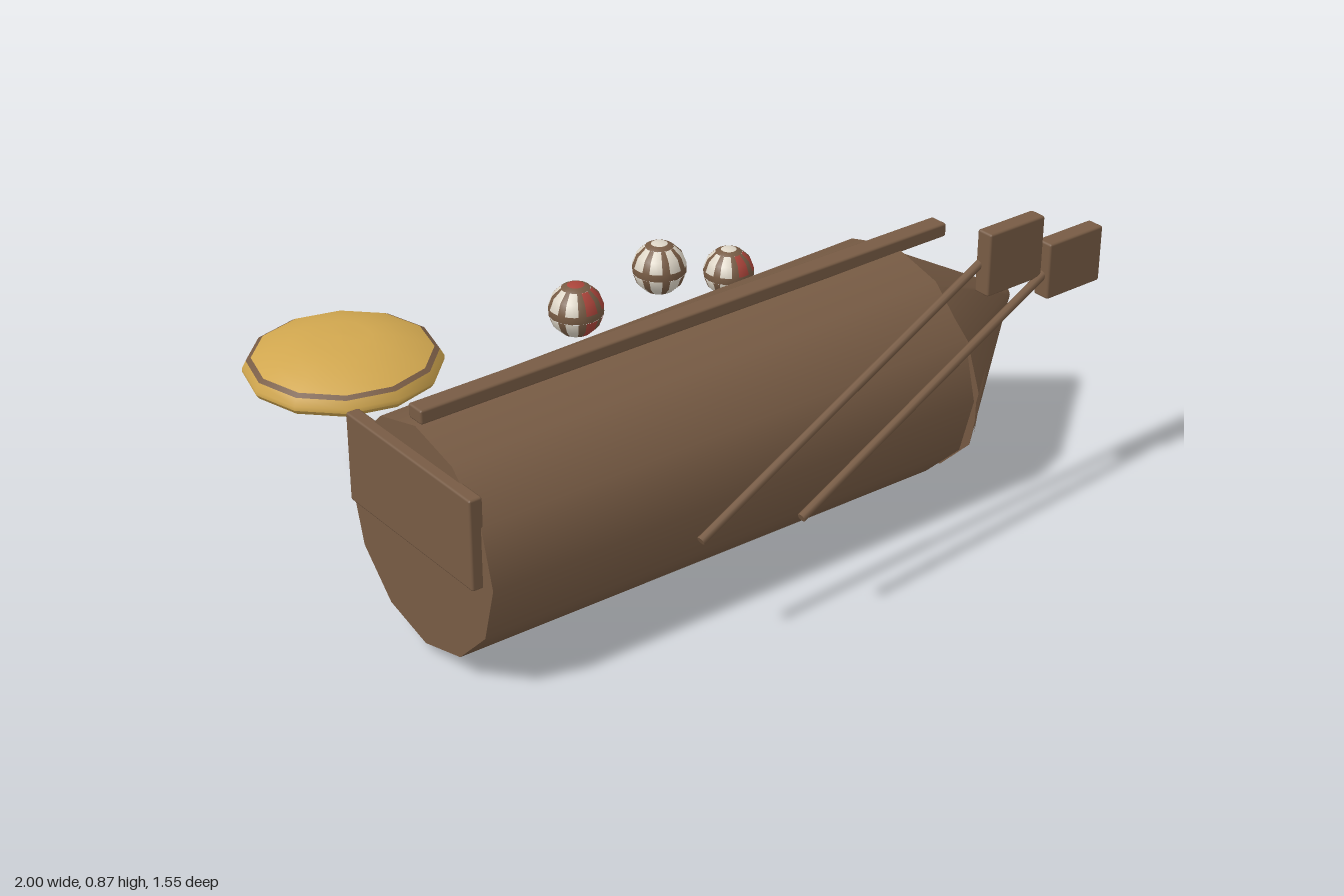
import * as THREE from 'three';
import { RoundedBoxGeometry } from 'three/addons/geometries/RoundedBoxGeometry.js';

const mat = (name, color, side = THREE.FrontSide) => {
  const m = new THREE.MeshStandardMaterial({ color, side });
  m.name = name;
  return m;
};

export function createModel() {
  const wood = mat('brown wood', 0x775b44);
  const gold = mat('gold', 0xd1a74f);
  const cream = mat('cream', 0xddd5c6);
  const red = mat('red', 0xa9443a);
  const woodThin = mat('brown sheet', 0x775b44, THREE.DoubleSide);
  const model = new THREE.Group();

  const add = (name, geometry, material, parent = model) => {
    const mesh = new THREE.Mesh(geometry, material);
    mesh.name = name;
    parent.add(mesh);
    return mesh;
  };
  // Softly bevelled box given by its limits on each axis
  const box = (name, [x0, x1], [y0, y1], [z0, z1]) => {
    const g = new RoundedBoxGeometry(x1 - x0, y1 - y0, z1 - z0, 1, 0.006);
    add(name, g, wood).position.set((x0 + x1) / 2, (y0 + y1) / 2, (z0 + z1) / 2);
  };
  // Round bar between two points
  const bar = (name, a, b, radius) => {
    const p = new THREE.Vector3(...a), q = new THREE.Vector3(...b);
    const m = add(name, new THREE.CylinderGeometry(radius, radius, p.distanceTo(q), 8), wood);
    m.position.copy(p).lerp(q, 0.5);
    m.quaternion.setFromUnitVectors(new THREE.Vector3(0, 1, 0), q.sub(p).normalize());
  };

  // Hull: twelve-sided barrel, slightly wider toward the bow
  const hull = add('hull', new THREE.CylinderGeometry(0.335, 0.31, 1.53, 12), wood);
  hull.rotation.z = -Math.PI / 2;
  hull.position.set(-0.205, 0.342, 0.262);

  // Bow: skewed cone with a blunt tip, leaning back at its base
  const skew = new THREE.Matrix4().set(
    -0.088, 1, 0, 0.592,
    1, 0.165, 0, 0.333,
    0, 0, -1, 0.262,
    0, 0, 0, 1);
  const bow = new THREE.Group();
  bow.name = 'bow';
  model.add(bow);
  const cone = new THREE.CylinderGeometry(0.04, 0.325, 0.375, 12).translate(0, 0.1875, 0);
  const tip = new THREE.CylinderGeometry(0.02, 0.04, 0.028, 12).translate(0, 0.389, 0);
  add('bowCone', cone.applyMatrix4(skew), wood, bow);
  add('bowTip', tip.applyMatrix4(skew), wood, bow);

  // Loose splinter where the bow meets the hull
  const splinter = new THREE.BufferGeometry().setFromPoints([
    new THREE.Vector3(0.56, 0.465, 0.635),
    new THREE.Vector3(0.575, 0.33, 0.59),
    new THREE.Vector3(0.6, 0.22, 0.565),
  ]);
  splinter.computeVertexNormals();
  add('bowSplinter', splinter, woodThin);

  // Keel beam and stern board
  box('keel', [-0.97, 0.725], [0.664, 0.703], [0.234, 0.29]);
  box('transom', [-1, -0.962], [0.33, 0.58], [-0.01, 0.53]);

  // Oars
  bar('oarShaft', [-0.445, 0.342, 0.696], [0.53, 0.79, 0.636], 0.012);
  box('oarBlade', [0.505, 0.697], [0.7, 0.876], [0.628, 0.677]);
  bar('oarShaft', [-0.183, 0.342, 0.764], [0.72, 0.71, 0.672], 0.012);
  box('oarBlade', [0.703, 0.895], [0.64, 0.798], [0.648, 0.698]);

  // Shield: shallow gold disc with a brown line inside the rim
  const shield = new THREE.Group();
  shield.name = 'shield';
  shield.position.set(-0.705, 0, -0.51);
  model.add(shield);
  const lathe = (name, pts, material) =>
    add(name, new THREE.LatheGeometry(pts.map(p => new THREE.Vector2(...p)), 12), material, shield);
  lathe('shieldUnderside', [[0, 0.325], [0.15, 0.327], [0.26, 0.387], [0.269, 0.4]], gold);
  lathe('shieldRim', [[0.269, 0.4], [0.269, 0.412], [0.258, 0.433]], gold);
  lathe('shieldLine', [[0.258, 0.433], [0.244, 0.441]], wood);
  lathe('shieldDome', [[0.244, 0.441], [0.2, 0.462], [0.14, 0.48], [0.08, 0.49], [0, 0.492]], gold);

  // Float balls: latitude rows of brown bands and coloured cells
  const deg = Math.PI / 180;
  const ball = (x, y, z, r, redCap, redCells) => {
    const g = new THREE.Group();
    g.name = 'floatBall';
    g.position.set(x, y, z);
    model.add(g);
    const patch = (name, material, phi, width, t0, t1, ws, hs) =>
      add(name, new THREE.SphereGeometry(r, ws, hs, phi * deg, width * deg, t0 * deg, (t1 - t0) * deg), material, g);
    for (const [t0, t1] of [[18, 32], [82, 98], [148, 162]])
      patch('ballBand', wood, 0, 360, t0, t1, 16, 1);
    patch('ballCap', redCap ? red : cream, 0, 360, 0, 18, 16, 1);
    patch('ballCap', cream, 0, 360, 162, 180, 16, 1);
    for (const [t0, t1] of [[32, 82], [98, 148]])
      for (let i = 0; i < 8; i++) {
        const phi = 180 + i * 45;
        patch('ballCell', redCells.includes(i) ? red : cream, phi - 14, 28, t0, t1, 1, 2);
        patch('ballStripe', wood, phi + 14, 17, t0, t1, 1, 2);
      }
  };
  ball(-0.033, 0.412, -0.377, 0.079, true, [0, 1, 2, 6, 7]);
  ball(0.31, 0.412, -0.443, 0.079, false, []);
  ball(0.457, 0.407, -0.31, 0.073, false, [1, 6, 7]);

  return model;
}
